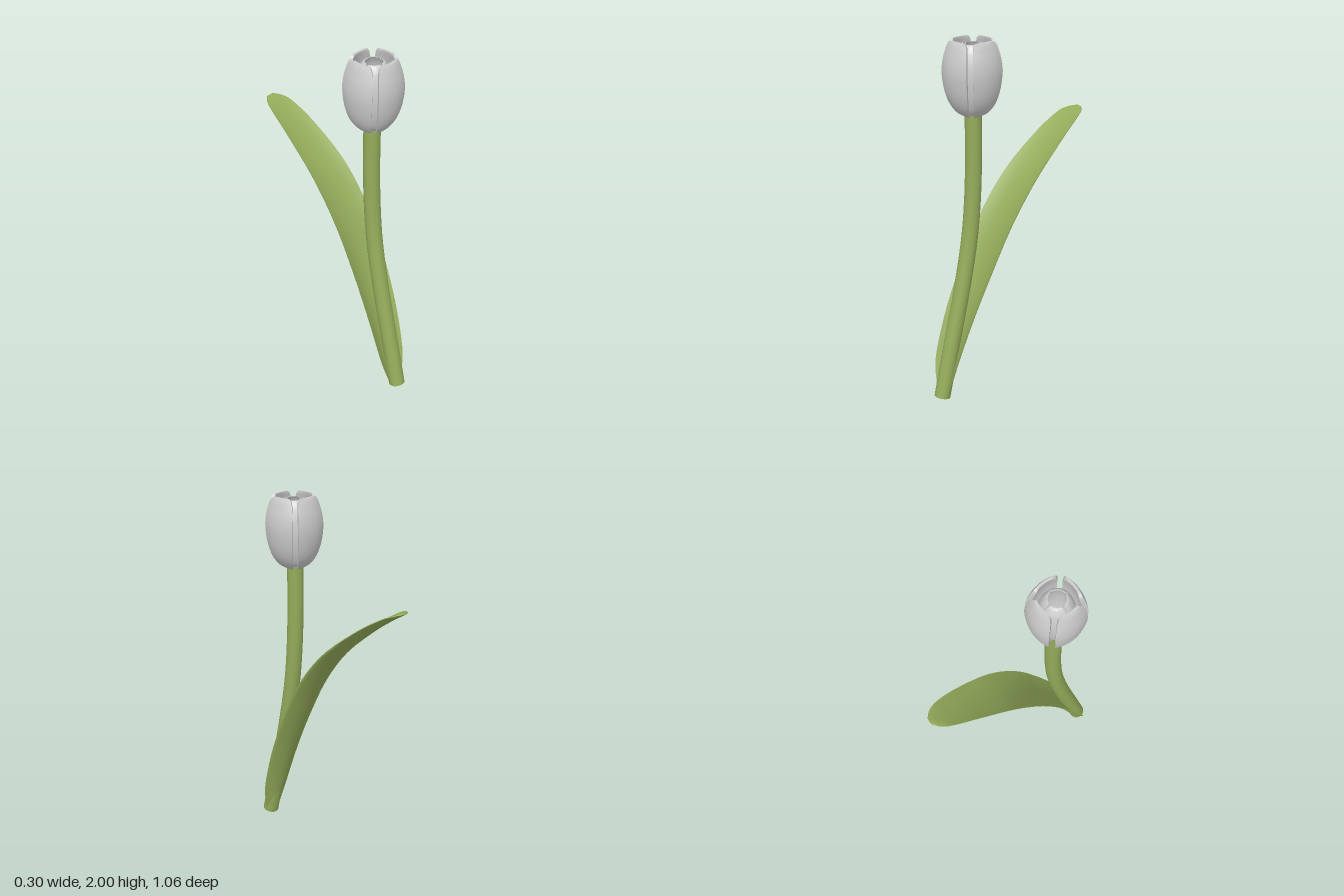
import * as THREE from 'three';
import { toCreasedNormals } from 'three/addons/utils/BufferGeometryUtils.js';

const V = (x, y, z) => new THREE.Vector3(x, y, z);
const curve = (rows) => new THREE.CatmullRomCurve3(rows.map((r) => V(...r)), false, 'catmullrom', 0.5);

// Skins a list of closed loops (counter-clockwise about the sweep direction) and caps both ends.
function loft(loops, crease) {
  const n = loops[0].length, last = (loops.length - 1) * n, index = [];
  for (let j = 0; j < loops.length - 1; j++) {
    for (let i = 0; i < n; i++) {
      const a = j * n + i, b = j * n + (i + 1) % n;
      index.push(a, b, b + n, a, b + n, a + n);
    }
  }
  for (let i = 0; i < n / 2 - 1; i++) {
    const a = i, b = i + 1, c = n - 2 - i, d = n - 1 - i;
    index.push(a, c, b, a, d, c);
    index.push(last + a, last + b, last + c, last + a, last + c, last + d);
  }
  const geometry = new THREE.BufferGeometry().setFromPoints(loops.flat());
  geometry.setIndex(index);
  return toCreasedNormals(geometry, crease);
}

// Direction at right angles to a path in the side plane, facing the front.
function frontNormal(path, t) {
  const tan = path.getTangent(t);
  return V(0, -tan.z, tan.y).normalize();
}

function stemGeometry() {
  const path = curve([[-0.013, 0.012, 0.487], [-0.01, 0.3, 0.418], [-0.006, 0.6, 0.345],
    [-0.002, 0.9, 0.285], [0, 1.15, 0.258], [0, 1.4, 0.248], [0, 1.64, 0.247]]);
  const loops = [];
  for (let j = 0; j <= 40; j++) {
    const p = path.getPoint(j / 40), n = frontNormal(path, j / 40), loop = [];
    for (let i = 0; i < 28; i++) {
      const a = (i / 28) * Math.PI * 2;
      loop.push(p.clone().addScaledVector(n, 0.045 * Math.cos(a)).add(V(0.045 * Math.sin(a), 0, 0)));
    }
    loops.push(loop);
  }
  return loft(loops, 0.9);
}

function leafGeometry() {
  // Midrib along the back of the leaf
  const path = curve([[-0.015, 0.02, 0.445], [-0.018, 0.08, 0.428], [-0.02, 0.2, 0.39],
    [-0.01, 0.45, 0.3], [0.003, 0.7, 0.19], [0.013, 0.95, 0.06], [0.02, 1.17, -0.105],
    [0.02, 1.35, -0.305], [0.018, 1.45, -0.44], [0.017, 1.485, -0.495], [0.017, 1.504, -0.526]]);
  // Half width, cup depth, thickness at the same stations
  const shape = curve([[0.042, 0.03, 0.014], [0.065, 0.043, 0.016], [0.092, 0.056, 0.018],
    [0.113, 0.058, 0.02], [0.124, 0.055, 0.02], [0.13, 0.051, 0.02], [0.125, 0.044, 0.02],
    [0.104, 0.034, 0.018], [0.08, 0.024, 0.016], [0.056, 0.014, 0.014], [0.022, 0.004, 0.01]]);
  const loops = [], steps = 60, across = 20;
  for (let j = 0; j <= steps; j++) {
    const t = j / steps, p = path.getPoint(t), n = frontNormal(path, t), f = shape.getPoint(t);
    const at = (s, front) => p.clone().add(V(f.x * s, 0, 0))
      .addScaledVector(n, f.y * s * s + (front ? 0.004 + f.z * (1 - s * s) : 0));
    const loop = [];
    for (let i = 0; i <= across; i++) loop.push(at(1 - (2 * i) / across, false));
    for (let i = 0; i <= across; i++) loop.push(at((2 * i) / across - 1, true));
    loops.push(loop);
  }
  return loft(loops, 1);
}

// Curved shell from rows of radius, height and half angle in degrees.
// A positive flare flattens the arc, carrying its edges further out.
function petalGeometry(rows, thickness, flare) {
  const profile = curve(rows), loops = [], steps = 40, across = 16;
  for (let j = 0; j <= steps; j++) {
    const t = j / steps, f = profile.getPoint(t), half = THREE.MathUtils.degToRad(f.z);
    const wall = thickness * (0.5 + 0.5 * Math.sin(Math.PI * t));
    const at = (s, inset) => {
      const r = f.x * (1 + flare * s * s) - inset;
      return V(r * Math.sin(half * s), f.y, r * Math.cos(half * s));
    };
    const loop = [];
    for (let i = 0; i <= across; i++) loop.push(at((2 * i) / across - 1, 0));
    for (let i = across; i >= 0; i--) loop.push(at((2 * i) / across - 1, wall));
    loops.push(loop);
  }
  return loft(loops, 0.9);
}

export function createModel() {
  const model = new THREE.Group();
  model.name = 'flower';
  const green = new THREE.MeshStandardMaterial({ color: 0x94ab5a });
  const grey = new THREE.MeshStandardMaterial({ color: 0xcccccc });
  const add = (parent, name, geometry, material) => {
    const mesh = new THREE.Mesh(geometry, material);
    mesh.name = name;
    parent.add(mesh);
    return mesh;
  };

  add(model, 'stem', stemGeometry(), green);
  add(model, 'leaf', leafGeometry(), green);

  // Bloom: four outer petals facing the axes, four inner petals between them
  const bloom = new THREE.Group();
  bloom.name = 'bloom';
  bloom.position.set(0, 0, 0.25);
  model.add(bloom);
  const outer = petalGeometry([[0.045, 1.6, 34], [0.083, 1.625, 36], [0.116, 1.675, 37.5],
    [0.138, 1.745, 38.5], [0.148, 1.83, 39], [0.142, 1.9, 39], [0.126, 1.96, 38],
    [0.115, 1.988, 35], [0.108, 2, 29]], 0.028, 0.06);
  const inner = petalGeometry([[0.044, 1.61, 44], [0.068, 1.645, 44.5], [0.09, 1.71, 44.8],
    [0.1, 1.79, 44.8], [0.096, 1.87, 44.5], [0.08, 1.935, 44], [0.064, 1.967, 42],
    [0.053, 1.98, 36]], 0.014, 0);
  for (let i = 0; i < 4; i++) {
    add(bloom, 'outerPetal', outer, grey).rotation.y = (i * Math.PI) / 2;
    add(bloom, 'innerPetal', inner, grey).rotation.y = ((i + 0.5) * Math.PI) / 2;
  }
  return model;
}
